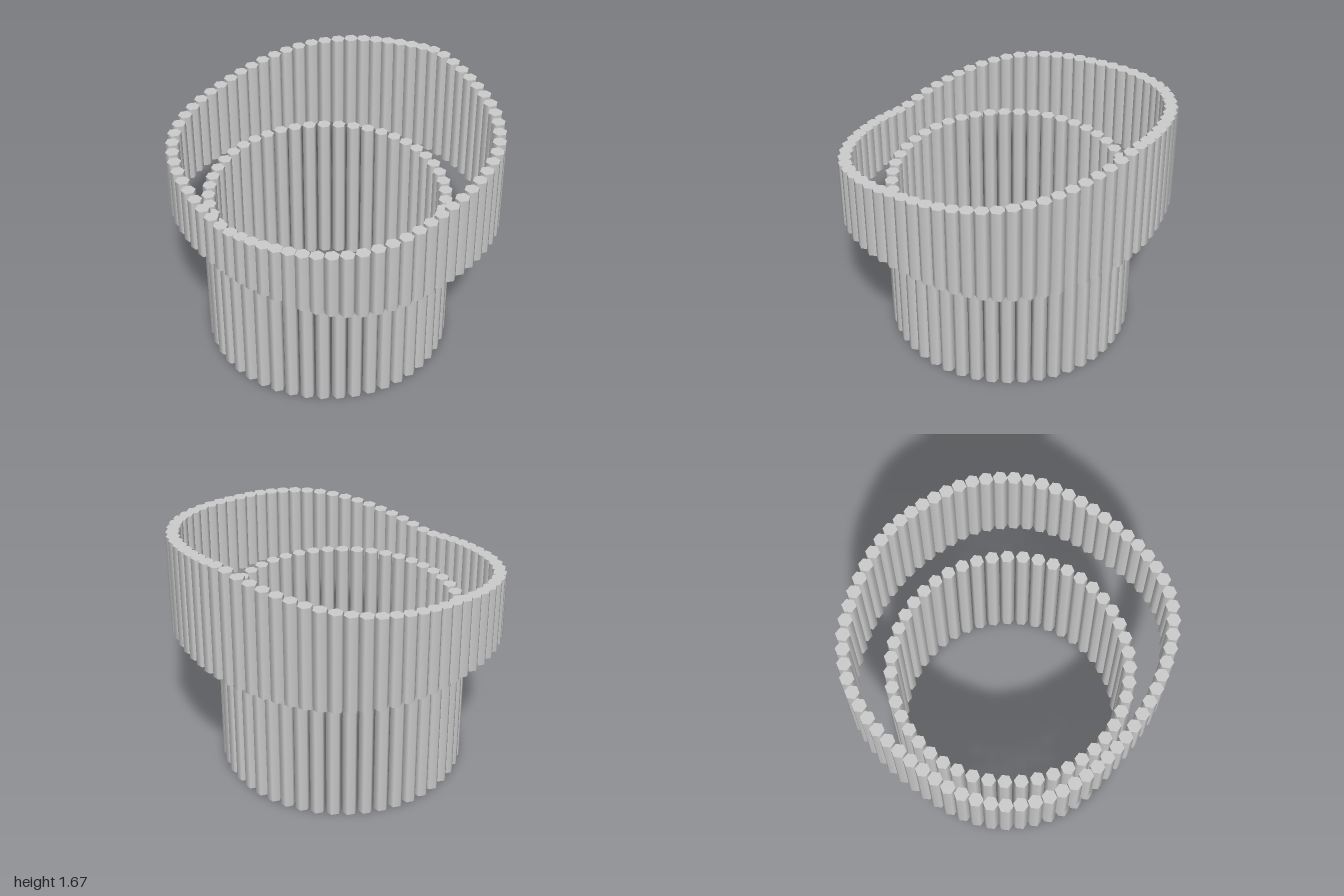
import * as THREE from 'three';

const material = new THREE.MeshStandardMaterial({ color: 0xcccccc });
const POST_RADIUS = 0.045;

// Upright six-sided post standing between two heights
function addPost(parent, name, x, z, bottom, top) {
  const geometry = new THREE.CylinderGeometry(POST_RADIUS, POST_RADIUS, top - bottom, 6, 1, false, Math.PI / 2);
  const post = new THREE.Mesh(geometry, material);
  post.name = name;
  post.position.set(x, (bottom + top) / 2, z);
  parent.add(post);
}

// Lower ring: level circle of posts, set slightly off centre
function createInnerRing() {
  const ring = new THREE.Group();
  ring.name = 'innerRing';
  const count = 47, radius = 0.738;
  for (let i = 0; i < count; i++) {
    const a = (i / count) * Math.PI * 2;
    addPost(ring, 'innerPost', -0.039 + radius * Math.cos(a), 0.039 + radius * Math.sin(a), 0, 1.05);
  }
  return ring;
}

// Upper ring: rounded square of posts, rising evenly from front to back
function createOuterRing() {
  const ring = new THREE.Group();
  ring.name = 'outerRing';
  const backHalf = [[-0.958, 0.018], [-0.956, -0.068], [-0.937, -0.24], [-0.89, -0.405], [-0.81, -0.56],
    [-0.627, -0.736], [-0.387, -0.843], [-0.135, -0.9]];
  const frontHalf = [[-0.135, 0.89], [-0.29, 0.873], [-0.547, 0.798], [-0.702, 0.713], [-0.825, 0.595],
    [-0.905, 0.44], [-0.947, 0.274], [-0.957, 0.103]];
  const mirror = (points) => points.map(([x, z]) => [-x, z]).reverse();
  const outline = [...backHalf, [0, -0.907], ...mirror(backHalf), ...mirror(frontHalf), [0, 0.895], ...frontHalf];
  const curve = new THREE.CatmullRomCurve3(outline.map(([x, z]) => new THREE.Vector3(x, 0, z)), true);
  curve.arcLengthDivisions = 1000;

  const count = 70;
  const points = curve.getSpacedPoints(count);
  for (let i = 0; i < count; i++) {
    const d = Math.abs(i - count / 4);
    const stepsFromBack = Math.min(d, count - d);
    addPost(ring, 'outerPost', points[i].x, points[i].z, 0.92, 1.672 - 0.0128 * stepsFromBack);
  }
  return ring;
}

export function createModel() {
  const model = new THREE.Group();
  model.name = 'postRings';
  model.add(createInnerRing(), createOuterRing());
  return model;
}
